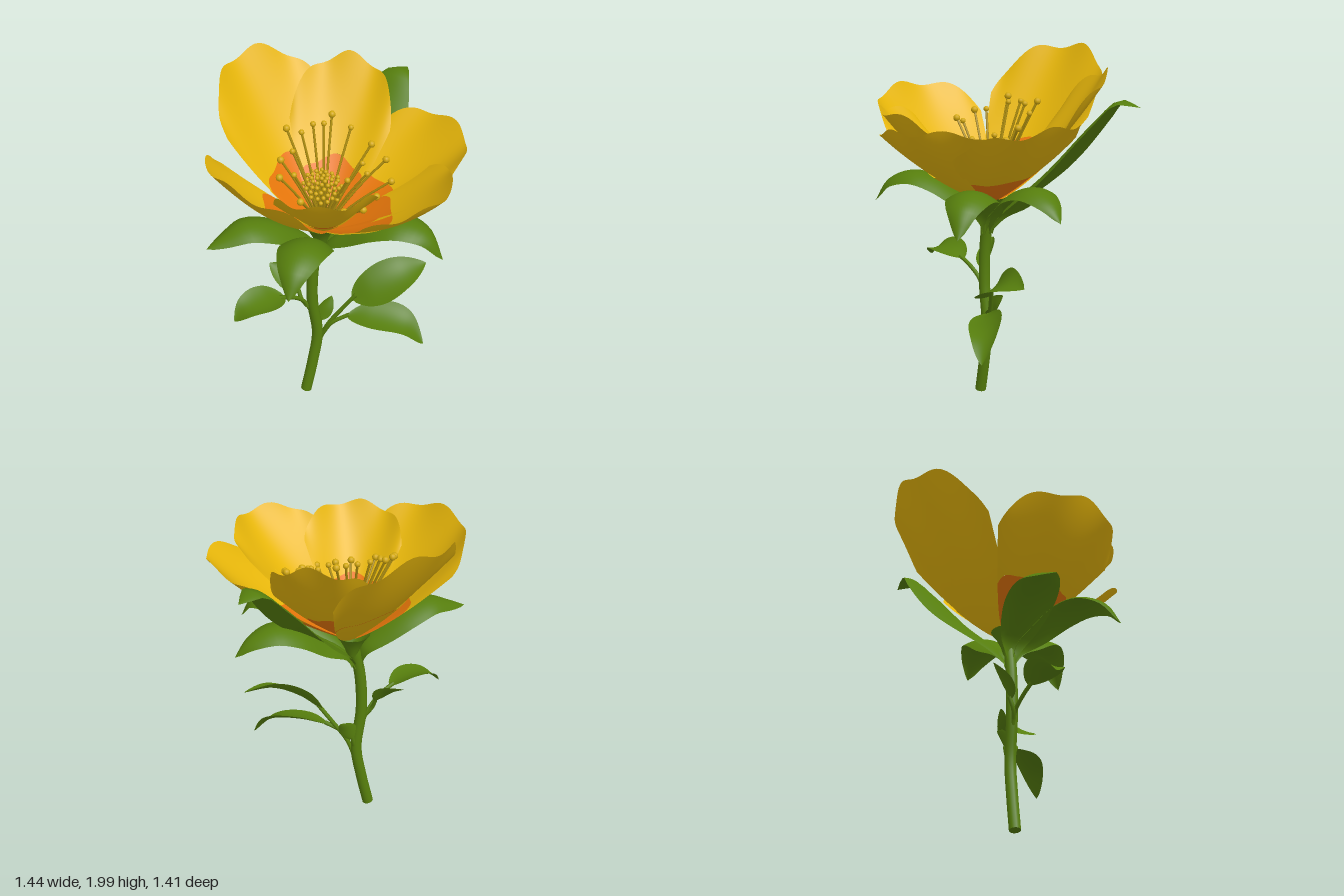
import * as THREE from 'three';

const V = (x, y, z) => new THREE.Vector3(x, y, z);
const mat = (name, color) => {
  const m = new THREE.MeshStandardMaterial({ color, side: THREE.DoubleSide });
  m.name = name;
  return m;
};
const CX = -0.03, CZ = -0.03; // flower axis

// Smooth surface from a rule fn(u, v) -> Vector3, u and v in 0..1
function surface(nu, nv, fn) {
  const pos = [], idx = [];
  for (let i = 0; i <= nu; i++)
    for (let j = 0; j <= nv; j++) pos.push(...fn(i / nu, j / nv).toArray());
  for (let i = 0; i < nu; i++)
    for (let j = 0; j < nv; j++) {
      const a = i * (nv + 1) + j, b = a + nv + 1;
      idx.push(a, a + 1, b, a + 1, b + 1, b);
    }
  const g = new THREE.BufferGeometry();
  g.setAttribute('position', new THREE.Float32BufferAttribute(pos, 3));
  g.setIndex(idx);
  g.computeVertexNormals();
  return g;
}

// Petal point: u from base to rim, v across
function petalPoint(p, u, v, out = 0) {
  const [tx, ty, tz] = p.tip, dx = tx - CX, dz = tz - CZ;
  const R = Math.hypot(dx, dz), c = dx / R, s = dz / R, y0 = 1.16;
  const th = (v - 0.5) * Math.PI, sn = Math.sin(th);
  const wave = Math.pow(u, 5);
  const t = u * (0.62 + 0.38 * Math.pow(Math.max(0, Math.cos(th)), 0.8)) * (1 + 0.018 * wave * Math.sin(7 * th + p.phase));
  // Bowed centre line
  const k = 2 * t * (1 - t), h = ty - y0;
  let r = k * p.reach * R + t * t * R;
  let y = y0 + k * p.bow * h + t * t * h;
  // Inward normal of the centre line
  const dr = 2 * (1 - 2 * t) * p.reach * R + 2 * t * R, dy = 2 * (1 - 2 * t) * p.bow * h + 2 * t * h;
  const l = Math.hypot(dr, dy), f = Math.pow(u, 0.65);
  const cup = f * (p.cup * sn * sn - p.tilt * sn) + 0.012 * wave * Math.sin(6 * th + p.phase) - out;
  r -= (dy / l) * cup;
  y += (dr / l) * cup;
  const b = p.width * f * sn;
  return V(CX + r * c - b * s, y, CZ + r * s + b * c);
}

export function createModel() {
  const root = new THREE.Group();
  const yellow = mat('petalYellow', 0xe8b70a);
  const orange = mat('throatOrange', 0xe8770a);
  const green = mat('leafGreen', 0x567e0d);
  const olive = mat('filamentOlive', 0xb0900f);
  const gold = mat('antherGold', 0xd2a80e);
  const add = (name, geo, m, parent = root) => {
    const mesh = new THREE.Mesh(geo, m);
    mesh.name = name;
    parent.add(mesh);
    return mesh;
  };
  const tube = (name, pts, r, m, parent, seg = 16, sides = 8) =>
    add(name, new THREE.TubeGeometry(new THREE.CatmullRomCurve3(pts), seg, r, sides), m, parent);

  // Petals with an orange throat; some are plain yellow outside
  const petals = [
    { tip: [-0.2, 1.98, -0.69], width: 0.36, cup: 0.08, tilt: 0.03, reach: 0.57, bow: 0.38, plain: true },
    { tip: [0.36, 1.91, -0.53], width: 0.28, cup: 0.07, tilt: 0.03, reach: 0.57, bow: 0.36 },
    { tip: [0.71, 1.7, 0.15], width: 0.35, cup: 0.12, tilt: 0.05, reach: 0.6, bow: 0.36 },
    { tip: [0.33, 1.69, 0.66], width: 0.31, cup: 0.12, tilt: 0.03, reach: 0.74, bow: 0.46, plain: true },
    { tip: [-0.25, 1.71, 0.54], width: 0.27, cup: 0.13, tilt: 0.01, reach: 0.68, bow: 0.46, plain: true },
    { tip: [-0.67, 1.76, 0.18], width: 0.37, cup: 0.1, tilt: -0.02, reach: 0.68, bow: 0.4 },
  ];
  petals.forEach((p, i) => {
    p.phase = i * 1.7;
    const g = new THREE.Group();
    g.name = 'petal' + (i + 1);
    root.add(g);
    const split = (v) => 0.44 + 0.02 * Math.cos((v - 0.5) * 14);
    add('petalThroat', surface(12, 28, (u, v) => petalPoint(p, u * split(v), v)), orange, g);
    add('petalBlade', surface(18, 40, (u, v) => petalPoint(p, split(v) + u * (1 - split(v)), v)), yellow, g);
    if (p.plain)
      add('petalBack', surface(12, 28, (u, v) => petalPoint(p, u * (split(v) + 0.02), v, 0.006)), yellow, g);
  });

  // Stamens: a long outer ring and a dense short centre
  const stamens = new THREE.Group();
  stamens.name = 'stamens';
  root.add(stamens);
  const stamen = (x, y, z, head, thick) => {
    const tip = V(x, y, z), foot = V(CX + (x - CX) * 0.1, 1.2, CZ + (z - CZ) * 0.1);
    const mid = foot.clone().lerp(tip, 0.5).setY(1.2 + (y - 1.2) * 0.55);
    tube('filament', [foot, mid, tip], thick, olive, stamens, 6, 5);
    add('anther', new THREE.SphereGeometry(head, 10, 8), gold, stamens).position.copy(tip);
  };
  const heads = [
    [-0.16, -0.22], [-0.09, -0.18], [-0.01, -0.21], [0.05, -0.2], [0.115, -0.24], [0.185, -0.145], [0.255, -0.03],
    [0.295, 0.07], [0.16, 0.12], [0.27, 0.19], [0.155, 0.25], [0.055, 0.3], [-0.05, 0.285], [-0.135, 0.265],
    [-0.25, 0.18], [-0.305, 0.03], [-0.225, 0.035], [-0.26, -0.06], [-0.18, -0.09], [0.16, 0.06], [0.04, 0.13],
  ];
  heads.forEach(([x, z]) => stamen(x, 1.62 - 0.5 * z, z, Math.hypot(x, z) > 0.24 ? 0.02 : 0.016, 0.007));
  for (let i = 0; i < 50; i++) {
    const r = 0.11 * Math.sqrt((i + 0.5) / 50), a = i * 2.39996;
    stamen(CX + r * Math.cos(a), 1.47 - 0.4 * r * Math.sin(a) - r * 0.3, CZ + r * Math.sin(a), 0.012, 0.004);
  }

  // Leaf blade along a path, folded along its midrib
  function leaf(name, pts, W, { side, roll = 0, base = 0, full = 0.85, fold = 0.25 }) {
    const curve = new THREE.CatmullRomCurve3(pts), up = V(0, 1, 0);
    const chord = pts[pts.length - 1].clone().sub(pts[0]).normalize();
    const S = side || chord.clone().cross(up).normalize().applyAxisAngle(chord, roll);
    add(name, surface(24, 12, (t, q) => {
      const v = q * 2 - 1, T = curve.getTangentAt(t);
      const N = S.clone().cross(T).normalize();
      const w = Math.max(W * Math.pow(Math.max(0, Math.sin(Math.PI * Math.pow(t, full))), 0.8), base * (1 - t));
      return curve.getPointAt(t).addScaledVector(S, v * w).addScaledVector(N, fold * w * v * v);
    }), green);
  }

  // Sepals: tip x, tip z, half width, tip height; profiles hold radius and height
  const droop = (R, y) => [[0.01, 0.98], [0.05, 1.1], [0.15, 1.19], [0.45 * R, 1.3], [0.67 * R, 1.335], [0.88 * R, 1.28], [R, y]];
  const sepals = [
    [0.46, 0.46, 0.14, 1.13], [-0.45, 0.48, 0.14, 1.15], [-0.72, 0.0, 0.14, 1.24], [0.63, -0.06, 0.14, 1.19],
    [0.7, -0.5, 0.19, 1.77],
  ];
  sepals.forEach(([x, z, W, y], i) => {
    const dx = x - CX, dz = z - CZ, R = Math.hypot(dx, dz), c = dx / R, s = dz / R;
    const tall = i === 4;
    const prof = tall ? [[0.01, 0.98], [0.09, 1.12], [0.37, 1.4], [0.63, 1.69], [0.75, 1.8], [R, y]] : droop(R, y);
    const shift = [0.045, 0.015]; // follows the leaning stem top
    leaf(tall ? 'tallSepal' : 'sepal', prof.map(([r, h], j) => V(CX + r * c - (shift[j] || 0), h, CZ + r * s)), W,
      { side: V(-s, 0, c), base: 0.028, full: 1.05, fold: tall ? -0.2 : -0.4 });
  });

  // Stem with flared top
  const stemPts = [V(-0.145, 0.01, -0.03), V(-0.1, 0.22, -0.03), V(-0.07, 0.42, -0.03),
    V(-0.1, 0.68, -0.03), V(-0.09, 0.92, -0.03), V(-0.05, 1.12, -0.03)];
  tube('stem', stemPts, 0.032, green, root, 40, 16);
  const cap = add('stemEnd', new THREE.CircleGeometry(0.032, 16), green);
  cap.position.copy(stemPts[0]);
  cap.lookAt(-0.19, -0.2, -0.03);
  const flare = [[0.03, 0], [0.045, 0.05], [0.07, 0.1], [0.1, 0.14]].map(([r, y]) => new THREE.Vector2(r, y));
  add('receptacle', new THREE.LatheGeometry(flare, 20), green).position.set(-0.045, 1.06, CZ);

  // Leaf stalks
  [
    [V(-0.065, 0.34, -0.03), V(-0.02, 0.47, -0.01), V(0.05, 0.58, 0.02), V(0.13, 0.7, 0.06)],
    [V(-0.05, 0.4, -0.02), V(0, 0.51, 0.02), V(0.09, 0.57, 0.06)],
    [V(-0.06, 0.4, -0.03), V(-0.05, 0.46, -0.045), V(-0.04, 0.51, -0.05)],
    [V(-0.1, 0.58, -0.03), V(-0.15, 0.68, -0.03), V(-0.22, 0.745, -0.01), V(-0.31, 0.79, 0.01)],
    [V(-0.13, 0.64, -0.03), V(-0.16, 0.69, -0.045), V(-0.17, 0.75, -0.07)],
  ].forEach((p) => tube('leafStalk', p, 0.012, green, root));

  // Stem leaves
  leaf('stemLeaf', [V(0.11, 0.67, 0.05), V(0.22, 0.75, 0.11), V(0.38, 0.825, 0.13), V(0.55, 0.84, 0.11)], 0.12, { roll: 0.55 });
  leaf('stemLeaf', [V(0.08, 0.56, 0.05), V(0.2, 0.575, 0.13), V(0.36, 0.545, 0.23), V(0.45, 0.42, 0.31)], 0.1, { roll: 0.4 });
  leaf('smallLeaf', [V(-0.045, 0.49, -0.05), V(-0.01, 0.57, -0.055), V(0.04, 0.63, -0.07)], 0.05, { roll: 1.2 });
  leaf('stemLeaf', [V(-0.28, 0.78, 0), V(-0.4, 0.81, 0.03), V(-0.52, 0.8, 0.04), V(-0.6, 0.735, 0.04)], 0.1, { roll: -0.2 });
  leaf('smallLeaf', [V(-0.17, 0.74, -0.06), V(-0.22, 0.82, -0.12), V(-0.29, 0.88, -0.2)], 0.07, { roll: -0.6 });

  return root;
}
